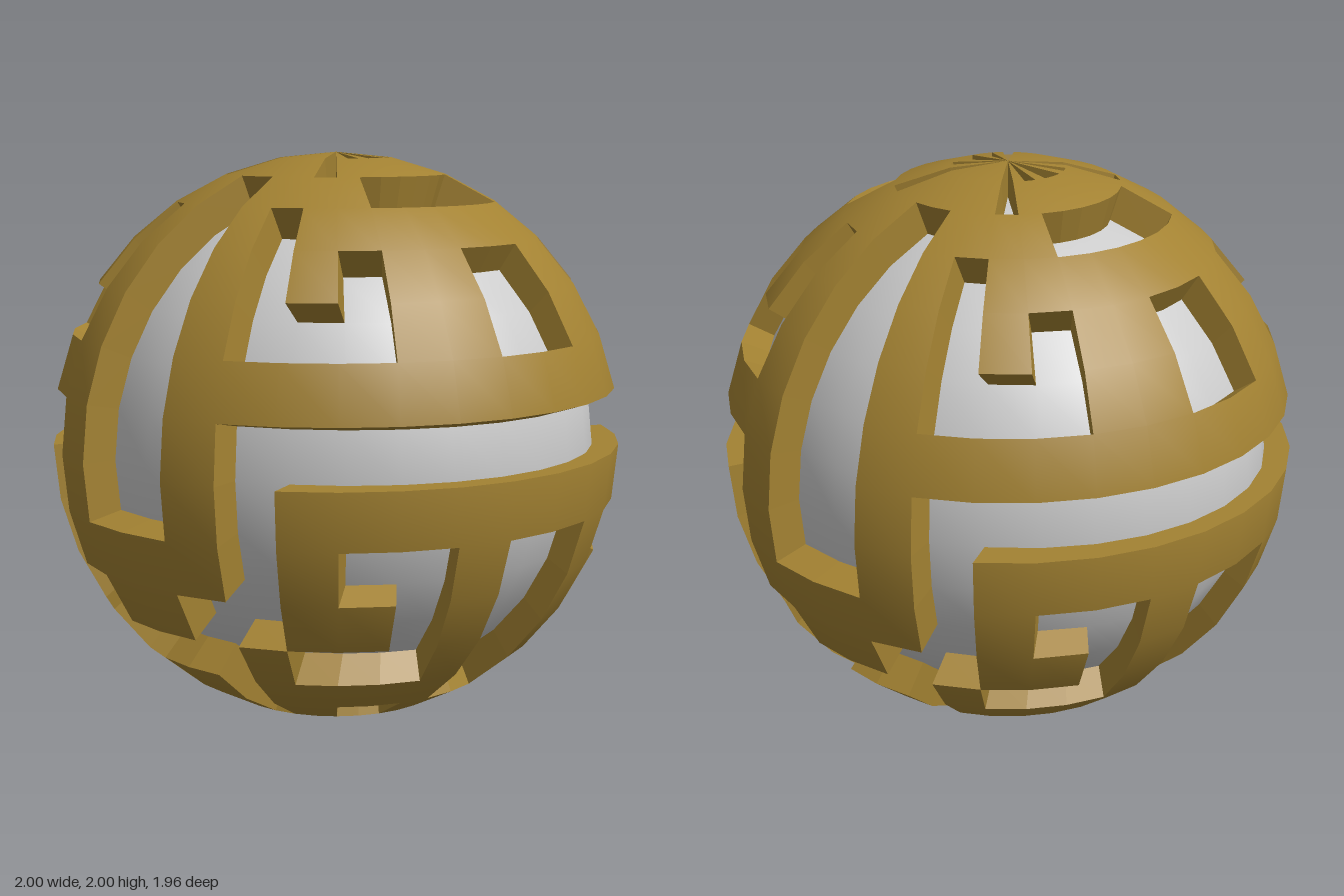
import * as THREE from 'three';

// One quarter of the relief: rows run pole to pole, columns from the front (or
// back) centre line to the side. '#' is raised shell, '.' shows the core.
const PATTERN = [
  '###.#.#.',
  '###.####',
  '.####...',
  '.#.#####',
  '.#.#.##.',
  '.#...##.',
  '.#######',
  '.#......',
  '.#.#####',
  '##.#..#.',
  '#..##.#.',
  '..#...#.',
  '#.#####.',
  '#.##..##',
  '###.###.',
  '###.#.##',
];
const ROWS = 16, COLS = 32;
const CORE = new THREE.Vector3(0.925, 0.875, 0.875);

// Mirror the quarter pattern around the whole globe
function raised(row, col) {
  if (row < 0 || row >= ROWS) return true;
  let c = (col + COLS) % COLS;
  if (c > 15) c = 31 - c;
  if (c > 7) c = 15 - c;
  return PATTERN[row][c] === '#';
}

// Point on the unit sphere at a grid corner, column 0 facing the front
function corner(row, col) {
  const lat = (row / ROWS) * Math.PI, lon = (col / COLS) * Math.PI * 2;
  const r = Math.sin(lat);
  return new THREE.Vector3(r * Math.sin(lon), Math.cos(lat), r * Math.cos(lon));
}

function shellGeometry() {
  const positions = [], normals = [];
  const quad = (points, pointNormals) => {
    for (const i of [0, 1, 2, 0, 2, 3]) {
      positions.push(...points[i].toArray());
      normals.push(...pointNormals[i].toArray());
    }
  };

  for (let row = 0; row < ROWS; row++) {
    for (let col = 0; col < COLS; col++) {
      if (!raised(row, col)) continue;
      const cell = [corner(row, col), corner(row + 1, col), corner(row + 1, col + 1), corner(row, col + 1)];

      // smooth outer face
      quad(cell, cell);

      // flat walls down to the core wherever the neighbour is open
      const neighbours = [[row, col - 1], [row + 1, col], [row, col + 1], [row - 1, col]];
      neighbours.forEach(([r, c], i) => {
        if (raised(r, c)) return;
        const p = cell[i], q = cell[(i + 1) % 4];
        const pIn = p.clone().multiply(CORE), qIn = q.clone().multiply(CORE);
        const n = qIn.clone().sub(p).cross(q.clone().sub(pIn)).normalize();
        n.copy(pIn).sub(p).cross(qIn.clone().sub(p)).add(qIn.clone().sub(p).cross(q.clone().sub(p))).normalize();
        quad([p, pIn, qIn, q], [n, n, n, n]);
      });
    }
  }

  const geometry = new THREE.BufferGeometry();
  geometry.setAttribute('position', new THREE.Float32BufferAttribute(positions, 3));
  geometry.setAttribute('normal', new THREE.Float32BufferAttribute(normals, 3));
  return geometry;
}

export function createModel() {
  const group = new THREE.Group();
  group.name = 'carvedSphere';

  // grey core, its facets lined up with the relief grid
  const coreGeometry = new THREE.SphereGeometry(1, COLS, ROWS).scale(CORE.x, CORE.y, CORE.z);
  const core = new THREE.Mesh(coreGeometry, new THREE.MeshStandardMaterial({ color: 0xcccccc }));
  core.name = 'core';
  core.position.y = 1;

  // golden maze-like shell
  const shell = new THREE.Mesh(shellGeometry(), new THREE.MeshStandardMaterial({ color: 0xa38232 }));
  shell.name = 'shell';
  shell.position.y = 1;

  group.add(core, shell);
  return group;
}
